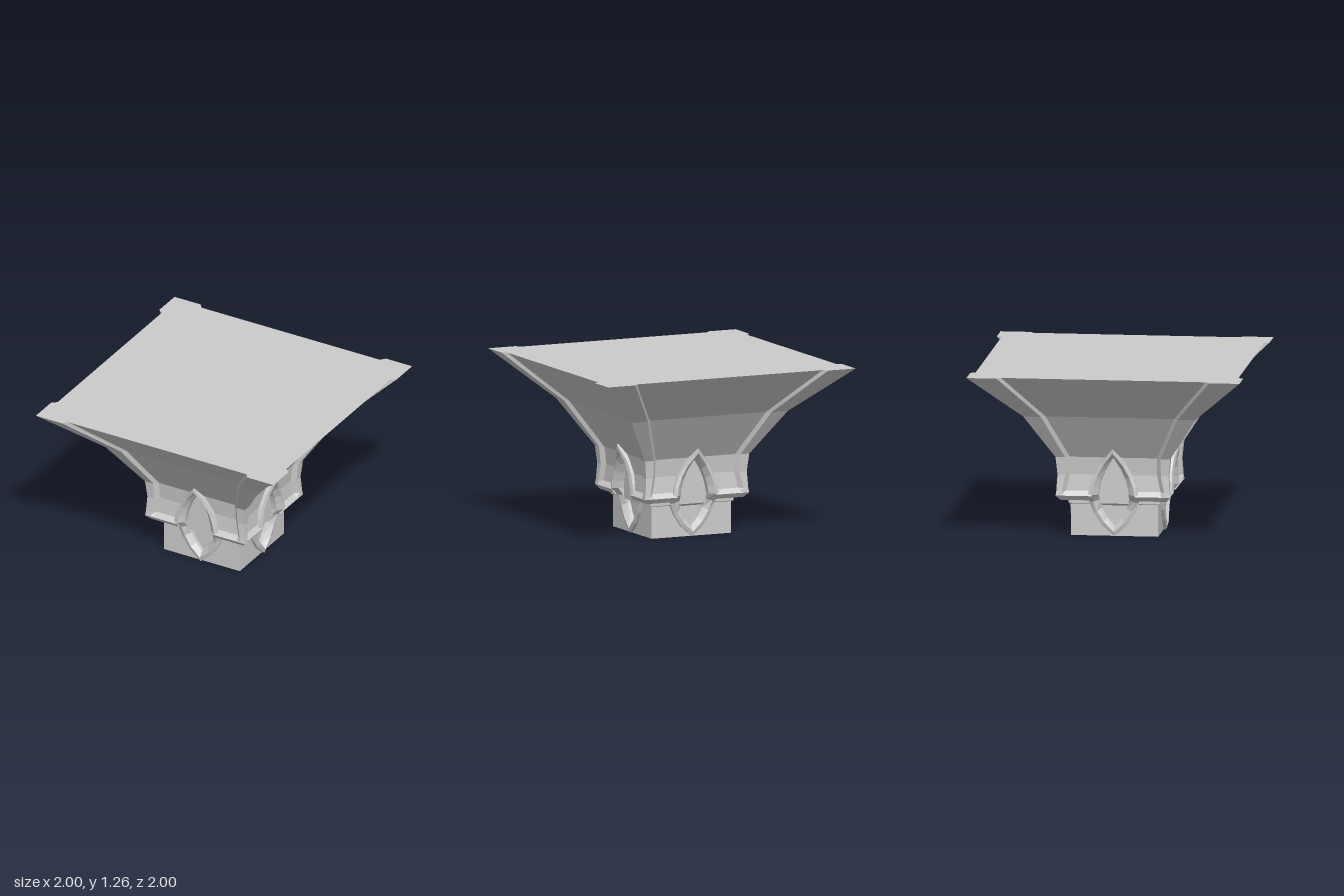
import * as THREE from 'three';

const material = new THREE.MeshStandardMaterial({ color: 0xcccccc, flatShading: true, side: THREE.DoubleSide });

// Linear interpolation in a table of [key, value...] rows
function sample(table, y, k = 1) {
  if (y <= table[0][0]) return table[0][k];
  for (let i = 1; i < table.length; i++) {
    const a = table[i - 1], b = table[i];
    if (y <= b[0]) return a[k] + (b[k] - a[k]) * (y - a[0]) / (b[0] - a[0]);
  }
  return table[table.length - 1][k];
}

// Skin rows of points with quads, leaving out one column if asked
function skin(rows, skipColumn = -1) {
  const positions = [];
  for (let i = 0; i < rows.length - 1; i++) {
    for (let j = 0; j < rows[i].length - 1; j++) {
      if (j === skipColumn) continue;
      const a = rows[i][j], b = rows[i][j + 1], c = rows[i + 1][j + 1], d = rows[i + 1][j];
      positions.push(...a, ...b, ...c, ...a, ...c, ...d);
    }
  }
  const geometry = new THREE.BufferGeometry();
  geometry.setAttribute('position', new THREE.Float32BufferAttribute(positions, 3));
  geometry.computeVertexNormals();
  return geometry;
}

function part(name, geometry) {
  const mesh = new THREE.Mesh(geometry, material);
  mesh.name = name;
  return mesh;
}

// Half width of the pointed oval, by height
const oval = [[0, 0], [0.08, 0.09], [0.17, 0.15], [0.25, 0.18], [0.31, 0.185],
  [0.38, 0.172], [0.46, 0.142], [0.55, 0.09], [0.66, 0]];
const ovalMiddle = 0.33;
const scaledOval = (ky, kx) => oval.map(([y, x]) => [ovalMiddle + (y - ovalMiddle) * ky, x * kx]);
const ovalRidge = scaledOval(0.9, 0.84);
const ovalInner = scaledOval(0.78, 0.6);

// Wall profile: height, corner half width, rib inner edge, recessed face depth
const wall = [
  [0, 0.32, 0.29, 0.32],
  [0.269, 0.32, 0.29, 0.32],
  [0.27, 0.39, 0.36, 0.39],
  [0.305, 0.42, 0.38, 0.417],
  [0.34, 0.415, 0.375, 0.385],
  [0.46, 0.407, 0.35, 0.375],
  [0.59, 0.42, 0.35, 0.39],
  [0.92, 0.63, 0.5, 0.6],
  [1.26, 1, 0.78, 0.963],
];

// One side of the capital: corner ribs, recessed face, moulding and block, with an oval opening
function wallGeometry() {
  const heights = [...wall.map((r) => r[0]), ...ovalRidge.map((r) => r[0])].sort((a, b) => a - b);
  const rows = heights.map((y) => {
    const s = sample(wall, y, 1), rib = sample(wall, y, 2), z = sample(wall, y, 3);
    const hole = sample(ovalRidge, y);
    const right = [[hole, y, z], [rib - 0.03, y, z], [rib, y, s], [s, y, s]];
    const left = right.map(([x, h, d]) => [-x, h, d]).reverse();
    return [...left, ...right];
  });
  return skin(rows, 3);
}

// Front of the oval frame, by height: it steps out with the moulding
const frameFront = [[0.25, 0.35], [0.29, 0.415], [0.46, 0.41], [0.56, 0.42], [0.66, 0.455]];

function frameGeometry() {
  const section = (i, side) => {
    const [yo, xo] = oval[i], [ym, xm] = ovalRidge[i], [yi, xi] = ovalInner[i];
    const front = (y) => sample(frameFront, y);
    const back = yo < 0.26 ? 0.28 : 0.32;
    return [
      [side * xo, yo, back],
      [side * xo, yo, front(yo) - 0.01],
      [side * xm, ym, front(ym)],
      [side * xi, yi, front(yi) - 0.035],
      [side * xi, yi, back],
    ];
  };
  const last = oval.length - 1;
  const loop = [];
  for (let i = 0; i <= last; i++) loop.push(section(i, -1));
  for (let i = last - 1; i >= 0; i--) loop.push(section(i, 1));
  return skin(loop);
}

export function createModel() {
  const model = new THREE.Group();
  model.name = 'columnCapital';

  // Four equal sides
  const side = wallGeometry(), frame = frameGeometry();
  for (let i = 0; i < 4; i++) {
    const group = new THREE.Group();
    group.name = 'side' + (i + 1);
    group.add(part('flaredWall', side), part('pointedOvalFrame', frame));
    group.rotation.y = i * Math.PI / 2;
    model.add(group);
  }

  // Square core seen through the ovals, with a small ledge
  const profile = [[0.29, 0.002], [0.29, 0.22], [0.335, 0.24], [0.335, 0.62]]
    .map(([r, y]) => new THREE.Vector2(r * Math.SQRT2, y));
  model.add(part('core', new THREE.LatheGeometry(profile, 4, Math.PI / 4).toNonIndexed()));

  // Top slab following the ribs and recesses
  const [y, s, rib, z] = wall[wall.length - 1];
  const outline = [];
  for (let i = 0; i < 4; i++) {
    for (const [a, b] of [[rib - 0.03, z], [rib, s], [s, s], [s, rib], [z, rib - 0.03]]) {
      const p = i % 2 ? [b, a] : [a, b];
      outline.push(new THREE.Vector2(a, b).rotateAround(new THREE.Vector2(), -i * Math.PI / 2));
    }
  }
  const top = new THREE.ShapeGeometry(new THREE.Shape(outline));
  top.rotateX(-Math.PI / 2).translate(0, y, 0);
  model.add(part('topFace', top));

  // Underside of the block
  const base = new THREE.PlaneGeometry(0.64, 0.64);
  base.rotateX(Math.PI / 2);
  model.add(part('baseFace', base));

  return model;
}
